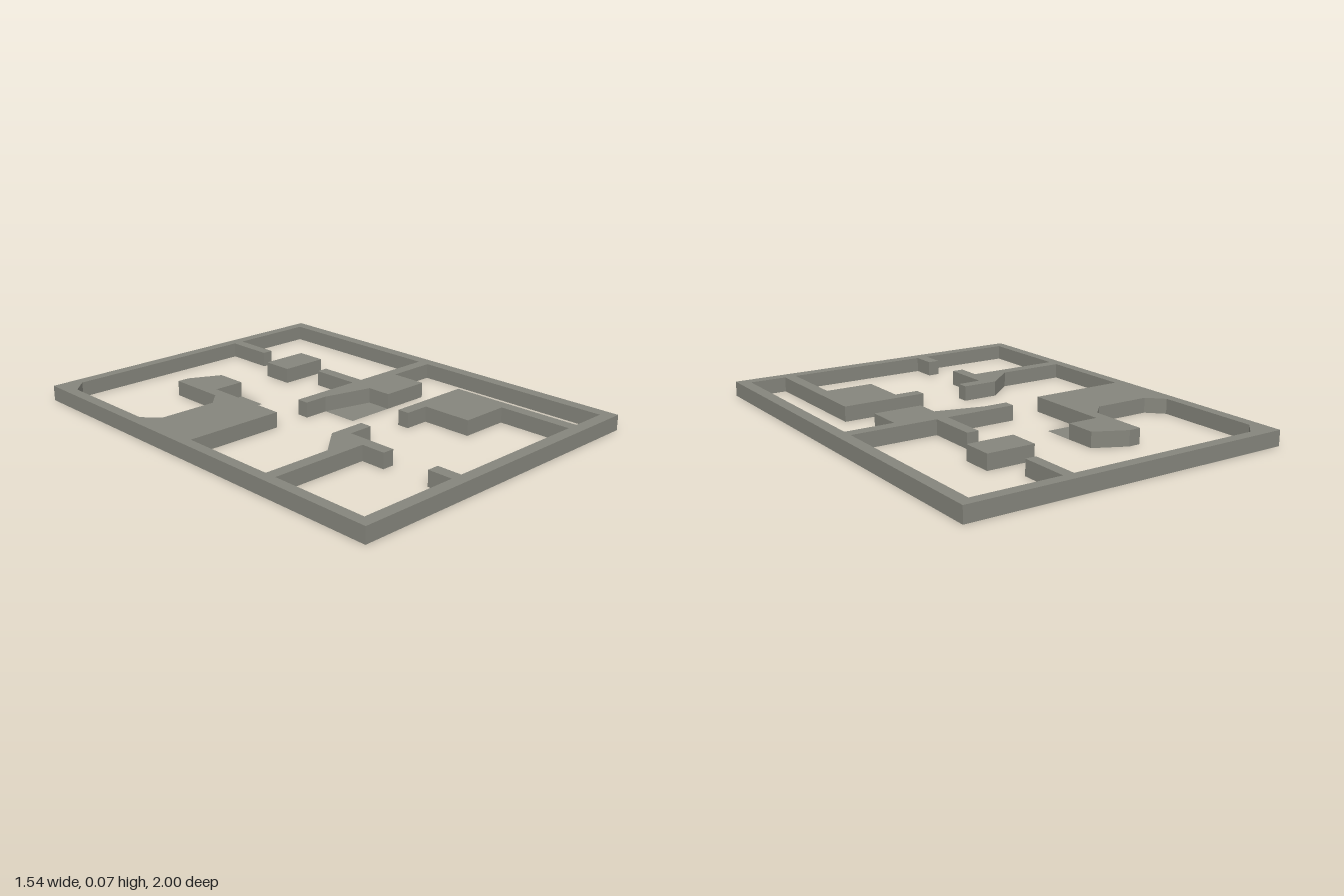
import * as THREE from 'three';

const HEIGHT = 0.07;

// Floor plan points are [x, z]; shapes are drawn in (x, -z) and laid flat.
const toPoints = (plan) => plan.map(([x, z]) => new THREE.Vector2(x, -z));
const rectangle = (x0, z0, x1, z1) => [[x0, z0], [x1, z0], [x1, z1], [x0, z1]];

// Raised hollow block: a top and sides, open underneath.
function shellGeometry(outline, hole) {
  const shape = new THREE.Shape(toPoints(outline));
  if (hole) shape.holes.push(new THREE.Path(toPoints(hole)));
  const solid = new THREE.ExtrudeGeometry(shape, { depth: HEIGHT, bevelEnabled: false });
  const skip = solid.groups[0].count / 2; // the bottom cap comes first
  const shell = new THREE.BufferGeometry();
  for (const key of ['position', 'normal']) {
    shell.setAttribute(key, new THREE.BufferAttribute(solid.attributes[key].array.slice(skip * 3), 3));
  }
  return shell.rotateX(-Math.PI / 2);
}

// Thin sheet lying on the ground.
function sheetGeometry(outline) {
  return new THREE.ShapeGeometry(new THREE.Shape(toPoints(outline))).rotateX(-Math.PI / 2);
}

export function createModel() {
  const model = new THREE.Group();
  model.name = 'floorPlan';
  const stone = new THREE.MeshStandardMaterial({ color: 0x85857c, side: THREE.DoubleSide });
  stone.name = 'warmGrey';

  const add = (name, geometry) => {
    const mesh = new THREE.Mesh(geometry, stone);
    mesh.name = name;
    model.add(mesh);
  };

  // Inner edge of the walls, going round the rooms part by part.
  const backLeftChamfer = [[-0.72, -0.88], [-0.65, -0.95]];
  const backStub = [[0.26, -0.95], [0.26, -0.72], [0.31, -0.72], [0.31, -0.95]];
  const backCorner = [[0.715, -0.95]];
  const middleWall = [
    [0.715, -0.085], [0.31, -0.085], [0.31, -0.32], [0.255, -0.32], [0.255, -0.085],
    [-0.085, -0.085], [-0.085, -0.03], [0.03, -0.03], [0.255, 0.025], [0.255, 0.14],
    [0.485, 0.14], [0.485, -0.03], [0.715, -0.03],
  ];
  const frontCorner = [[0.715, 0.945]];
  const frontRoomWall = [
    [0.54, 0.945], [0.54, 0.31], [0.14, 0.31], [0.14, 0.365],
    [0.255, 0.365], [0.255, 0.6], [0.485, 0.6], [0.485, 0.945],
  ];
  const frontStub = [[-0.205, 0.945], [-0.205, 0.83], [-0.26, 0.83], [-0.26, 0.945]];
  const sideRoomWall = [
    [-0.72, 0.945], [-0.72, 0.485], [-0.26, 0.485], [-0.26, 0.6], [-0.205, 0.6], [-0.205, 0.365],
    [-0.09, 0.365], [-0.09, 0.31], [-0.26, 0.31], [-0.4, 0.43], [-0.72, 0.43],
  ];
  const hookedBlock = [
    [-0.72, -0.03], [-0.26, -0.03], [-0.26, -0.445], [-0.115, -0.445], [-0.115, -0.59], [-0.26, -0.66],
    [-0.315, -0.66], [-0.315, -0.385], [-0.385, -0.315], [-0.65, -0.315], [-0.72, -0.385],
  ];
  const rooms = [
    ...backLeftChamfer, ...backStub, ...backCorner, ...middleWall, ...frontCorner,
    ...frontRoomWall, ...frontStub, ...sideRoomWall, ...hookedBlock,
  ];

  add('walls', shellGeometry(rectangle(-0.77, -1, 0.77, 1), rooms));

  // Free-standing block
  add('islandBlock', shellGeometry(rectangle(0.17, -0.59, 0.395, -0.445)));

  // Low floor sheets beside the blocks
  add('hookFloorSheet', sheetGeometry(rectangle(-0.26, -0.445, -0.115, -0.3)));
  add('middleFloorSheet', sheetGeometry([[0.03, -0.03], [0.255, 0.025], [0.255, 0.14], [0.03, 0.14]]));

  return model;
}
